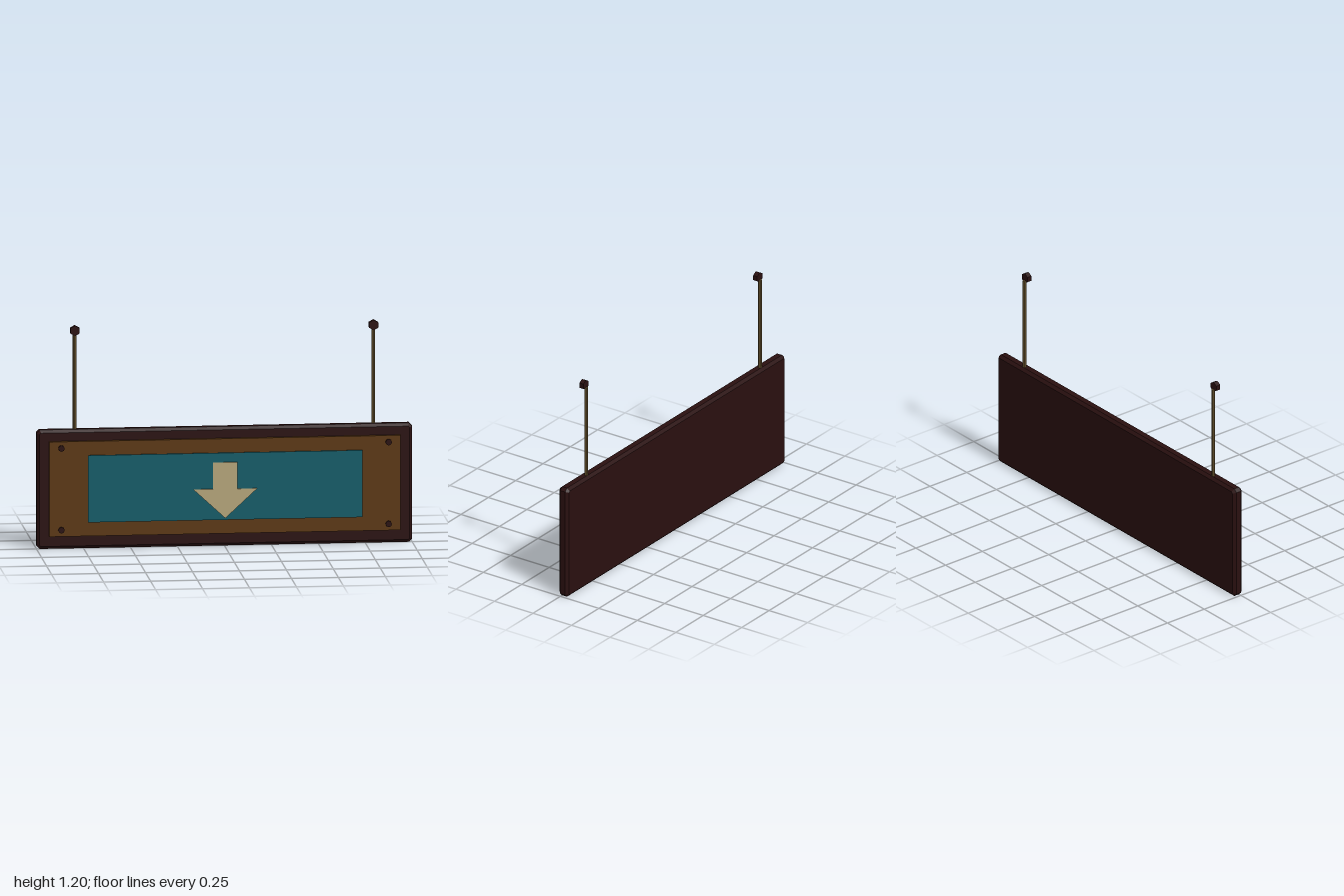
import * as THREE from 'three';

const mat = (name, color, flat = true) => {
  const m = new THREE.MeshStandardMaterial({ color });
  m.name = name;
  m.flatShading = flat;
  return m;
};

export function createModel() {
  const darkWood = mat('dark wood', 0x2a1010);
  const bronze = mat('bronze', 0x5c3812);
  const teal = mat('teal', 0x125c68);
  const cream = mat('cream', 0xb5a57a);
  const brass = mat('brass', 0x705a32);

  const group = new THREE.Group();
  group.name = 'hangingSign';
  const add = (name, geometry, material, x, y, z) => {
    const mesh = new THREE.Mesh(geometry, material);
    mesh.name = name;
    mesh.position.set(x, y, z);
    group.add(mesh);
    return mesh;
  };
  const shapeOf = (pts) => new THREE.Shape(pts.map(([x, y]) => new THREE.Vector2(x, y)));

  // Board with chamfered edges and clipped corners
  const c = 0.015, w = 1 - c, h = 0.32 - c, k = 0.008;
  const outline = shapeOf([
    [-w + k, -h], [w - k, -h], [w, -h + k], [w, h - k],
    [w - k, h], [-w + k, h], [-w, h - k], [-w, -h + k],
  ]);
  const board = new THREE.ExtrudeGeometry(outline, {
    depth: 0.032, bevelEnabled: true, bevelThickness: c, bevelSize: c, bevelSegments: 1,
  });
  add('board', board, darkWood, 0, 0.32, -0.031);

  // Layered face plates
  add('backingPlate', new THREE.BoxGeometry(1.87, 0.51, 0.02), bronze, 0, 0.325, 0.024);
  add('signPanel', new THREE.BoxGeometry(1.46, 0.36, 0.012), teal, 0, 0.325, 0.037);

  // Downward arrow
  const arrow = shapeOf([
    [0, 0.155], [0.17, 0.312], [0.065, 0.312], [0.065, 0.455],
    [-0.065, 0.455], [-0.065, 0.312], [-0.17, 0.312],
  ]);
  add('arrow', new THREE.ExtrudeGeometry(arrow, { depth: 0.009, bevelEnabled: false }), cream, 0, 0, 0.042);

  // Corner bolts, hanging rods and their hexagonal end caps
  const bolt = new THREE.CylinderGeometry(0.017, 0.017, 0.012, 8).rotateX(Math.PI / 2);
  const rod = new THREE.CylinderGeometry(0.01, 0.01, 0.54, 8);
  const cap = new THREE.CylinderGeometry(0.028, 0.028, 0.026, 6).rotateX(Math.PI / 2);
  for (const side of [-1, 1]) {
    for (const y of [0.105, 0.545]) add('bolt', bolt, darkWood, side * 0.871, y, 0.038);
    add('hangingRod', rod, brass, side * 0.795, 0.886, -0.022);
    add('rodCap', cap, darkWood, side * 0.795, 1.17, -0.008);
  }
  return group;
}
